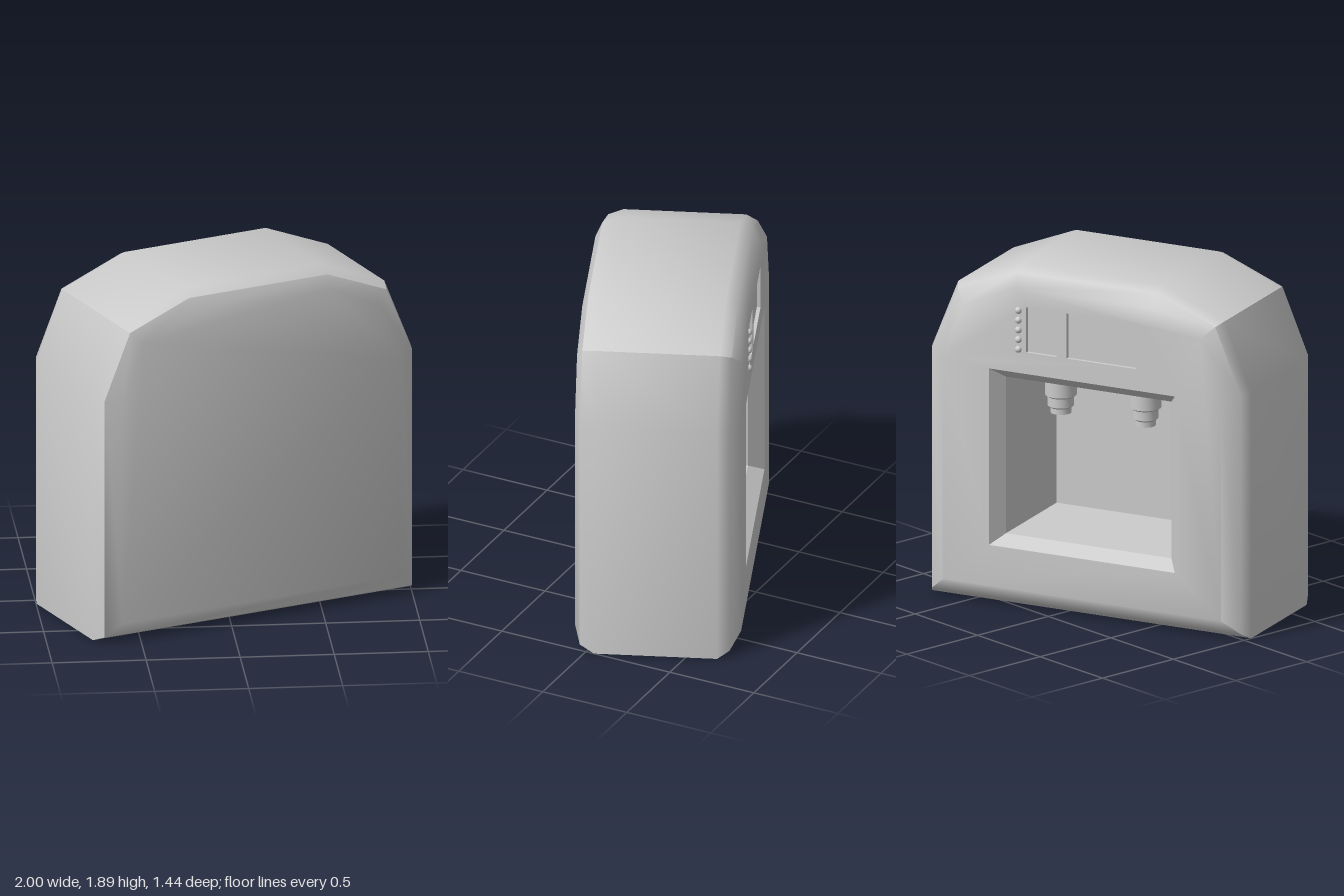
import * as THREE from 'three';
import { mergeGeometries, toCreasedNormals } from 'three/addons/utils/BufferGeometryUtils.js';

const material = new THREE.MeshStandardMaterial({ color: 0xcccccc, side: THREE.DoubleSide });

function mesh(name, geometry) {
  const m = new THREE.Mesh(geometry, material);
  m.name = name;
  return m;
}

// Skin a stack of equal-length rings; each ring is { z, pts: [[x, y], ...] }
function loft(rings, { cap = false, skip = () => false } = {}) {
  const pos = [];
  const add = (ring, i) => pos.push(...ring.pts[i % ring.pts.length], ring.z);
  for (let r = 0; r < rings.length - 1; r++) {
    const a = rings[r], b = rings[r + 1];
    for (let i = 0; i < a.pts.length; i++) {
      if (skip(r, i)) continue;
      add(a, i); add(a, i + 1); add(b, i + 1);
      add(a, i); add(b, i + 1); add(b, i);
    }
  }
  if (cap) {
    const end = rings[rings.length - 1];
    for (let i = 1; i < end.pts.length - 1; i++) { add(end, 0); add(end, i); add(end, i + 1); }
  }
  const g = new THREE.BufferGeometry();
  g.setAttribute('position', new THREE.Float32BufferAttribute(pos, 3));
  return g;
}

const rect = (x0, x1, y0, y1) => [[x0, y0], [x1, y0], [x1, y1], [x0, y1]];
const toVectors = pts => pts.map(p => new THREE.Vector2(...p));

// Arched outline mirrored from its right half (counter-clockwise)
const arch = half => [...half, ...half.map(([x, y]) => [-x, y]).reverse()];

// Flat face with holes, positions only so it can be merged with the lofted shell
function face(pts, z, holes = [], flip = false) {
  const shape = new THREE.Shape(toVectors(pts));
  holes.forEach(h => shape.holes.push(new THREE.Path(toVectors(h))));
  let g = new THREE.ShapeGeometry(shape);
  if (flip) g.index.array.reverse();
  g = g.toNonIndexed();
  g.deleteAttribute('normal');
  g.deleteAttribute('uv');
  return g.translate(0, 0, z);
}

export function createModel() {
  const model = new THREE.Group();
  model.name = 'dispenser';
  const unit = new THREE.Group();
  unit.name = 'turnedUnit';
  unit.rotation.y = Math.PI + THREE.MathUtils.degToRad(22);
  model.add(unit);

  const FRONT = 0.442;
  const opening = rect(-0.55, 0.55, 0.34, 1.32);
  const inner = rect(-0.49, 0.49, 0.39, 1.26);
  const screens = {
    smallScreen: rect(-0.33, -0.15, 1.44, 1.69),
    largeScreen: rect(-0.09, 0.32, 1.44, 1.69),
  };

  // Housing: bevelled arched shell, open underneath
  const flat = arch([[0.825, 0.11], [0.825, 1.34], [0.7, 1.66], [0.39, 1.79]]);
  const bevel = arch([[0.915, 0.035], [0.915, 1.36], [0.763, 1.72], [0.412, 1.86]]);
  const outer = arch([[0.945, 0], [0.945, 1.36], [0.79, 1.74], [0.42, 1.89]]);
  const shell = loft([
    { z: -FRONT, pts: flat }, { z: -0.408, pts: bevel }, { z: -0.33, pts: outer },
    { z: 0.325, pts: outer }, { z: 0.388, pts: bevel }, { z: FRONT, pts: flat },
  ], { skip: (r, i) => r === 2 && i === 7 });
  const housing = mergeGeometries([
    shell,
    face(flat, -FRONT, [], true),
    face(flat, FRONT, [opening, ...Object.values(screens)]),
  ]);
  unit.add(mesh('housing', toCreasedNormals(housing, 0.7)));

  // Filling bay with a sloped frame
  const bay = loft([
    { z: FRONT, pts: opening }, { z: 0.36, pts: inner }, { z: -0.24, pts: inner },
  ], { cap: true });
  unit.add(mesh('fillingBay', toCreasedNormals(bay, 0.3)));

  // Recessed screens
  for (const [name, pts] of Object.entries(screens)) {
    const recess = loft([{ z: FRONT, pts }, { z: FRONT - 0.02, pts }], { cap: true });
    unit.add(mesh(name, toCreasedNormals(recess, 0.3)));
  }

  // Column of round buttons
  for (let i = 0; i < 5; i++) {
    const button = mesh('button', new THREE.SphereGeometry(0.019, 16, 10));
    button.position.set(-0.375, 1.452 + i * 0.054, FRONT);
    unit.add(button);
  }

  // Stepped nozzles hanging from the bay ceiling
  const profile = [[0, 0.05], [0.04, 0.05], [0.04, 0], [0.056, 0], [0.056, 0.03],
    [0.07, 0.04], [0.07, 0.09], [0.085, 0.1], [0.085, 0.21]];
  const nozzle = toCreasedNormals(new THREE.LatheGeometry(toVectors(profile), 24), 0.5);
  for (const side of [-1, 1]) {
    const m = mesh('nozzle', nozzle);
    m.position.set(side * 0.25, 1.05, 0.19);
    unit.add(m);
  }
  return model;
}
